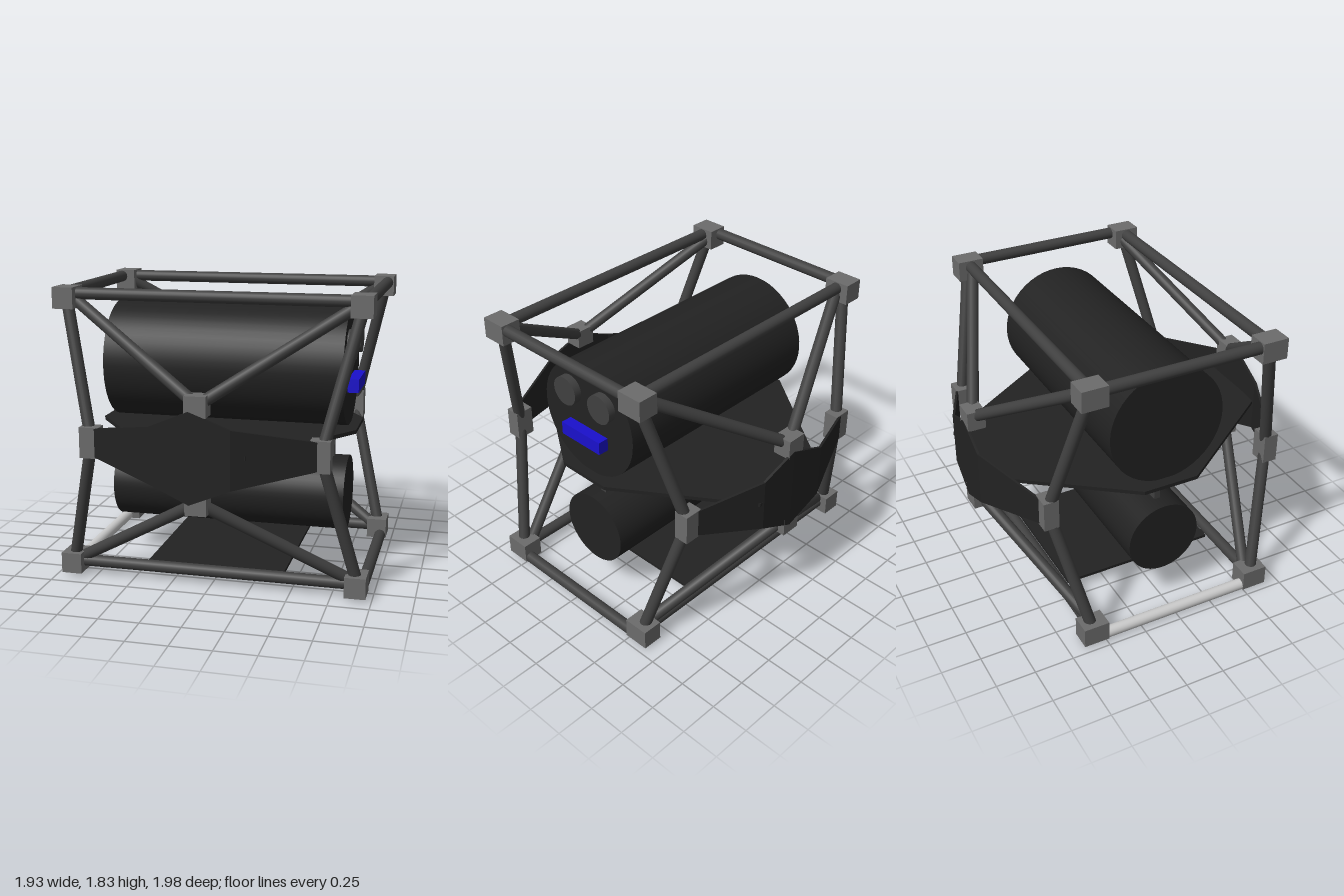
import * as THREE from 'three';

const mat = (color, extra = {}) => new THREE.MeshStandardMaterial({ color, ...extra });
const V = (x, y, z) => new THREE.Vector3(x, y, z);

export function createModel() {
  const model = new THREE.Group();
  const black = mat(0x222222), tubeDark = mat(0x404040), joint = mat(0x6c6c6c);
  const grey = mat(0xcccccc), blue = mat(0x1a10cc);

  const add = (name, geometry, material, pos = V(0, 0, 0), parent = model) => {
    const mesh = new THREE.Mesh(geometry, material);
    mesh.name = name;
    mesh.position.copy(pos);
    parent.add(mesh);
    return mesh;
  };
  const box = (name, w, h, d, material, pos) =>
    add(name, new THREE.BoxGeometry(w, h, d), material, pos);

  // Round bar between two points
  const bar = (name, a, b, material = tubeDark) => {
    const dir = b.clone().sub(a);
    const mesh = add(name, new THREE.CylinderGeometry(0.037, 0.037, dir.length(), 20), material,
      a.clone().add(b).multiplyScalar(0.5));
    mesh.quaternion.setFromUnitVectors(V(0, 1, 0), dir.normalize());
  };

  // Cylinder lying along x
  const drum = (name, r, x0, x1, y, z, material) => {
    const g = new THREE.CylinderGeometry(r, r, x1 - x0, 48).rotateZ(-Math.PI / 2);
    return add(name, g, material, V((x0 + x1) / 2, y, z));
  };

  // Frame: corner, waist and centre joints with their bars
  for (const sz of [-1, 1]) {
    const z = sz * 0.57;
    bar('topCrossBar', V(-0.9, 1.795, z), V(0.9, 1.795, z));
    bar('bottomCrossBar', V(-0.9, 0.09, z), V(0.9, 0.09, z));
    const upper = V(0.01, 1.22, sz * 0.92), lower = V(0.01, 0.64, sz * 0.92);
    box('centreJoint', 0.13, 0.125, 0.115, joint, upper);
    box('centreJoint', 0.13, 0.125, 0.115, joint, lower);
    for (const sx of [-1, 1]) {
      const x = sx * 0.9;
      const waist = V(sx * 0.7, 0.925, sz * 0.755);
      box('topCornerJoint', 0.13, 0.13, 0.165, joint, V(x, 1.772, z));
      box('bottomCornerJoint', 0.13, 0.13, 0.165, joint, V(x, 0.09, z));
      box('waistJoint', 0.12, 0.19, 0.095, joint, waist);
      bar('upperUpright', waist, V(sx * 0.905, 1.78, z));
      bar('lowerUpright', waist, V(sx * 0.905, 0.09, z));
      bar('upperBrace', upper, V(sx * 0.89, 1.78, sz * 0.54));
      bar('lowerBrace', lower, V(sx * 0.89, 0.09, sz * 0.54));
    }
  }
  for (const sx of [-1, 1]) {
    bar('topSideBar', V(sx * 0.923, 1.795, -0.57), V(sx * 0.923, 1.795, 0.57));
    bar('bottomSideBar', V(sx * 0.925, 0.045, -0.6), V(sx * 0.925, 0.045, 0.6),
      sx < 0 ? grey : tubeDark);
  }

  // Main and lower housings, joined by a vertical web
  drum('mainHousing', 0.377, -0.755, 0.762, 1.32, 0, black);
  drum('lowerHousing', 0.24, -0.755, 0.762, 0.49, 0, black);
  box('web', 1.33, 0.23, 0.04, tubeDark, V(0.005, 0.82, 0));

  // Fittings on the end of the main housing
  for (const sz of [-1, 1]) drum('endDisc', 0.093, 0.75, 0.81, 1.477, sz * 0.145, tubeDark);
  box('endBlock', 0.09, 0.084, 0.325, blue, V(0.787, 1.22, 0));

  // Eight-sided deck
  const deck = new THREE.Shape([
    [0.825, -0.18], [0.825, 0.18], [0.3, 0.96], [-0.25, 0.96],
    [-0.825, 0.18], [-0.825, -0.18], [-0.25, -0.96], [0.3, -0.96],
  ].map(([x, y]) => new THREE.Vector2(x, y)));
  const deckGeo = new THREE.ExtrudeGeometry(deck, { depth: 0.024, bevelEnabled: false });
  add('deck', deckGeo.rotateX(-Math.PI / 2), black, V(0, 0.924, 0));

  // Plate on the base
  box('basePlate', 0.88, 0.02, 1.04, black, V(0, 0.085, 0));

  // Bent guard panels: stations of [x, bottom y, top y, z]
  const stations = [
    [-0.67, 0.84, 1.015, 0.8], [-0.27, 0.745, 1.09, 0.965], [-0.03, 0.64, 1.193, 0.98],
    [0.22, 0.745, 1.1, 0.99], [0.69, 0.84, 1.012, 0.8],
  ];
  const pts = [], idx = [];
  for (const [x, y0, y1, z] of stations)
    pts.push(x, y0, z, x, y1, z, x, y1, z - 0.016, x, y0, z - 0.016);
  for (let i = 0; i < stations.length - 1; i++)
    for (let j = 0; j < 4; j++) {
      const a = i * 4 + j, b = i * 4 + (j + 1) % 4;
      idx.push(a, a + 4, b + 4, a, b + 4, b);
    }
  const e = (stations.length - 1) * 4;
  idx.push(0, 1, 2, 0, 2, 3, e, e + 2, e + 1, e, e + 3, e + 2);
  const indexed = new THREE.BufferGeometry();
  indexed.setAttribute('position', new THREE.Float32BufferAttribute(pts, 3));
  indexed.setIndex(idx);
  const panel = indexed.toNonIndexed();
  panel.computeVertexNormals();
  const panelMat = mat(0x222222, { flatShading: true });
  add('frontGuardPanel', panel, panelMat);
  add('backGuardPanel', panel, panelMat).rotation.y = Math.PI;

  return model;
}
